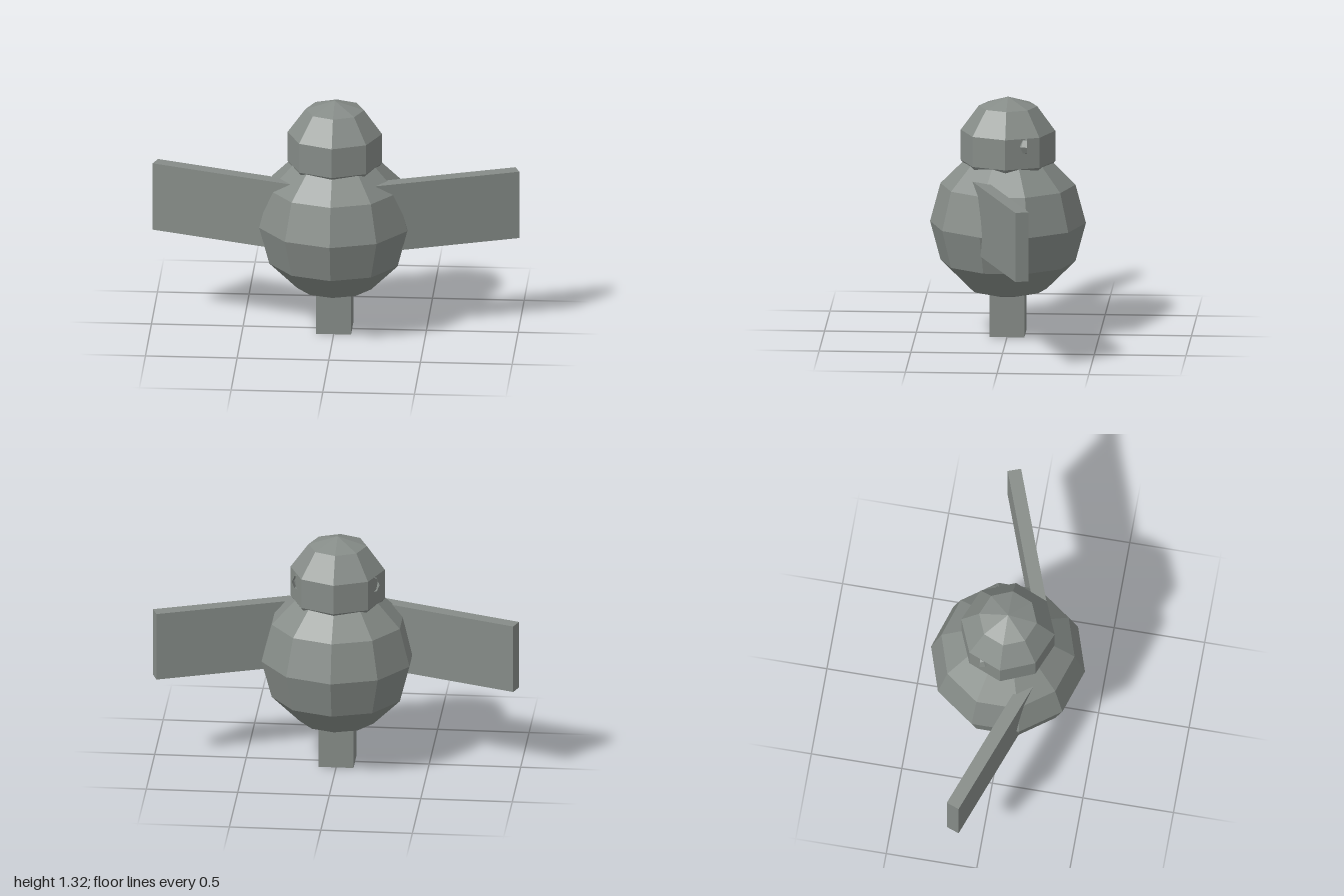
import * as THREE from 'three';

export function createModel() {
  const group = new THREE.Group();
  const grey = new THREE.MeshStandardMaterial({ color: 0x868c88, flatShading: true });
  grey.name = 'grey';
  const greyOpen = grey.clone(); // same colour, for the open eye shells
  greyOpen.name = 'grey';
  greyOpen.side = THREE.DoubleSide;

  const add = (name, geometry, x, y, z, material = grey) => {
    const mesh = new THREE.Mesh(geometry, material);
    mesh.name = name;
    mesh.position.set(x, y, z);
    group.add(mesh);
    return mesh;
  };

  // ten-sided body with corners on the z axis
  add('body', new THREE.SphereGeometry(0.425, 10, 6).rotateY(Math.PI / 2), 0, 0.622, 0);

  // eight-sided head
  add('head', new THREE.SphereGeometry(0.271, 8, 5), 0, 1.05, 0);

  // square foot below the body
  add('foot', new THREE.BoxGeometry(0.19, 0.28, 0.19), 0, 0.14, 0);

  for (const side of [1, -1]) {
    const label = side > 0 ? 'left' : 'right';

    // flat wing swept towards the back
    const angle = THREE.MathUtils.degToRad(20);
    const length = 0.85;
    const wing = add(label + 'Wing', new THREE.BoxGeometry(length, 0.385, 0.074),
      side * (0.9875 - Math.cos(angle) * length / 2), 0.703,
      -0.135 + Math.sin(angle) * length / 2);
    wing.rotation.y = side * angle;

    // half-dome eye bulging to +z, partly sunk into the head
    const eye = add(label + 'Eye', new THREE.SphereGeometry(0.05, 6, 4, 0, Math.PI),
      side * 0.19, 1.09, -0.117, greyOpen);
    eye.scale.z = 1.25;
  }
  return group;
}
